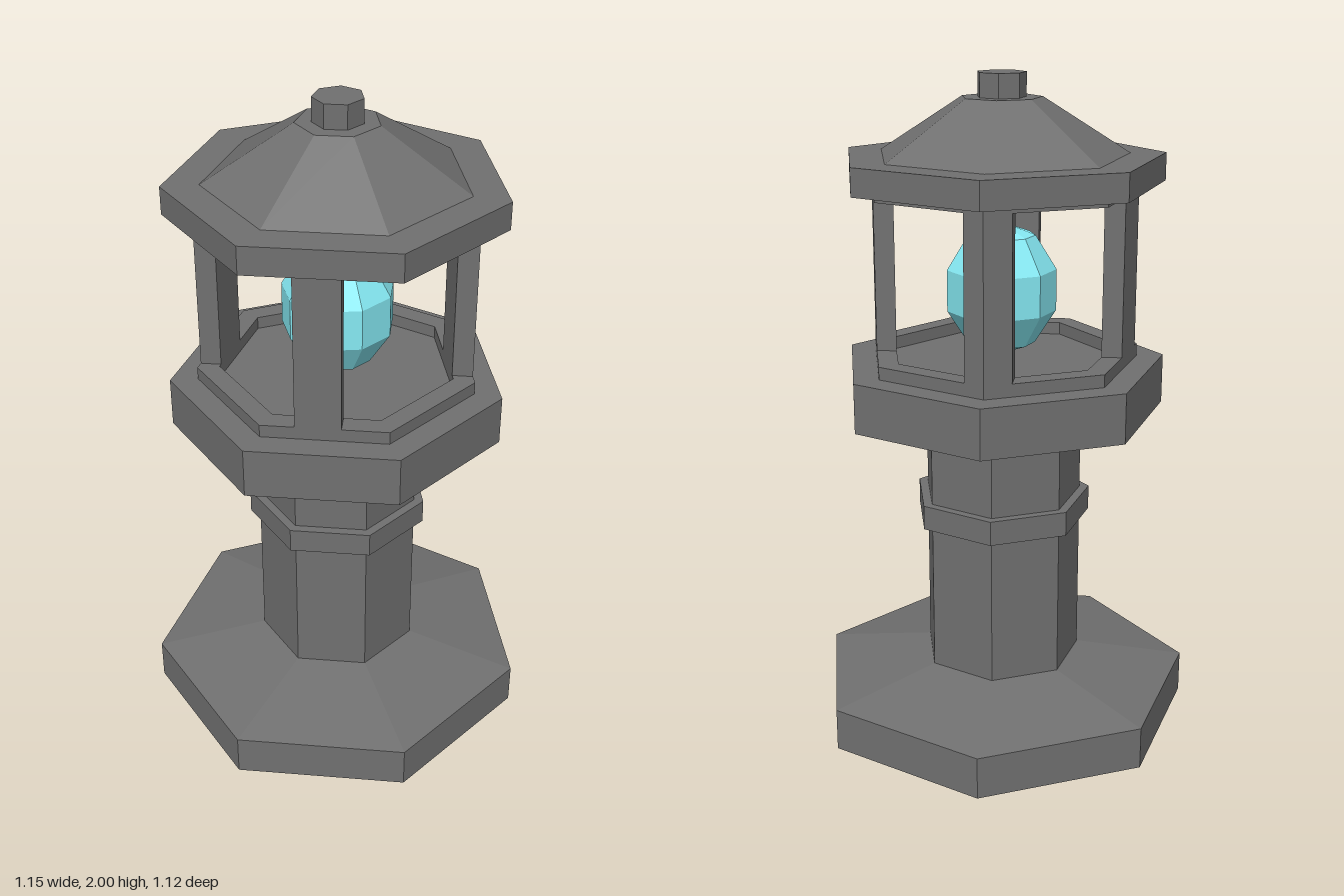
import * as THREE from 'three';

const SIDES = 7;
const stone = new THREE.MeshStandardMaterial({ color: 0x707070, flatShading: true });
const glow = new THREE.MeshStandardMaterial({ color: 0x86eaf4, flatShading: true });

// Seven-sided solid with a corner at the back and a flat at the front
function prism(name, rBottom, rTop, y0, y1) {
  const geo = new THREE.CylinderGeometry(rTop, rBottom, y1 - y0, SIDES);
  geo.rotateY(Math.PI);
  geo.translate(0, (y0 + y1) / 2, 0);
  const mesh = new THREE.Mesh(geo, stone);
  mesh.name = name;
  return mesh;
}

// Upright extrusion of a plan given as Vector2(x, z) points
function extrudePlan(name, points, hole, y0, y1) {
  const flip = (list) => list.map((p) => new THREE.Vector2(p.x, -p.y));
  const shape = new THREE.Shape(flip(points));
  if (hole) shape.holes.push(new THREE.Path(flip(hole)));
  const geo = new THREE.ExtrudeGeometry(shape, { depth: y1 - y0, bevelEnabled: false });
  geo.rotateX(-Math.PI / 2);
  geo.translate(0, y0, 0);
  const mesh = new THREE.Mesh(geo, stone);
  mesh.name = name;
  return mesh;
}

function heptagon(r) {
  return Array.from({ length: SIDES }, (_, i) => {
    const a = Math.PI + (i * 2 * Math.PI) / SIDES;
    return new THREE.Vector2(r * Math.sin(a), r * Math.cos(a));
  });
}

// Point on the heptagon's outline, looking along axis at sideways offset t
function outlinePoint(r, axis, t) {
  const side = new THREE.Vector2(axis.y, -axis.x);
  const apothem = r * Math.cos(Math.PI / SIDES);
  let s = Infinity;
  for (let i = 0; i < SIDES; i++) {
    const a = (i * 2 * Math.PI) / SIDES;
    const n = new THREE.Vector2(Math.sin(a), Math.cos(a));
    const d = n.dot(axis);
    if (d > 1e-6) s = Math.min(s, (apothem - t * n.dot(side)) / d);
  }
  return axis.clone().multiplyScalar(s).addScaledVector(side, t);
}

export function createModel() {
  const model = new THREE.Group();
  model.name = 'stoneLantern';
  model.position.z = 0.028;

  // Foot, shaft and lamp platform
  model.add(
    prism('baseSlab', 0.589, 0.589, 0, 0.13),
    prism('baseSlope', 0.589, 0.246, 0.13, 0.195),
    prism('column', 0.246, 0.246, 0.19, 1.0),
    prism('collar', 0.275, 0.275, 0.655, 0.73),
    prism('platform', 0.497, 0.497, 1.0, 1.15),
  );

  // Lamp housing: two rings joined by four posts cut from the same wall
  const outer = 0.415, inner = 0.35;
  model.add(
    extrudePlan('lowerRing', heptagon(outer), heptagon(inner), 1.15, 1.188),
    extrudePlan('upperRing', heptagon(outer), heptagon(inner), 1.662, 1.685),
  );
  const posts = [
    ['frontPost', 0, 1, -0.083, 0.047],
    ['leftPost', 1, 0, -0.06, 0.081],
    ['backPost', 0, -1, -0.058, 0.075],
    ['rightPost', -1, 0, -0.078, 0.067],
  ];
  for (const [name, x, z, t0, t1] of posts) {
    const axis = new THREE.Vector2(x, z);
    const offsets = [t0, 0, t1];
    const outside = offsets.map((t) => outlinePoint(outer, axis, t));
    const inside = offsets.map((t) => outlinePoint(inner, axis, t)).reverse();
    model.add(extrudePlan(name, [...outside, ...inside], null, 1.188, 1.662));
  }

  // Faceted light
  const lampGeo = new THREE.SphereGeometry(0.173, 9, 5);
  lampGeo.scale(1, 0.2 / 0.173, 1);
  const lamp = new THREE.Mesh(lampGeo, glow);
  lamp.name = 'light';
  lamp.position.y = 1.37;
  model.add(lamp);

  // Roof
  model.add(
    prism('roofRim', 0.487, 0.487, 1.683, 1.765),
    prism('roofSlope', 0.38, 0.12, 1.765, 1.93),
    prism('finial', 0.073, 0.073, 1.93, 2.0),
  );
  return model;
}
